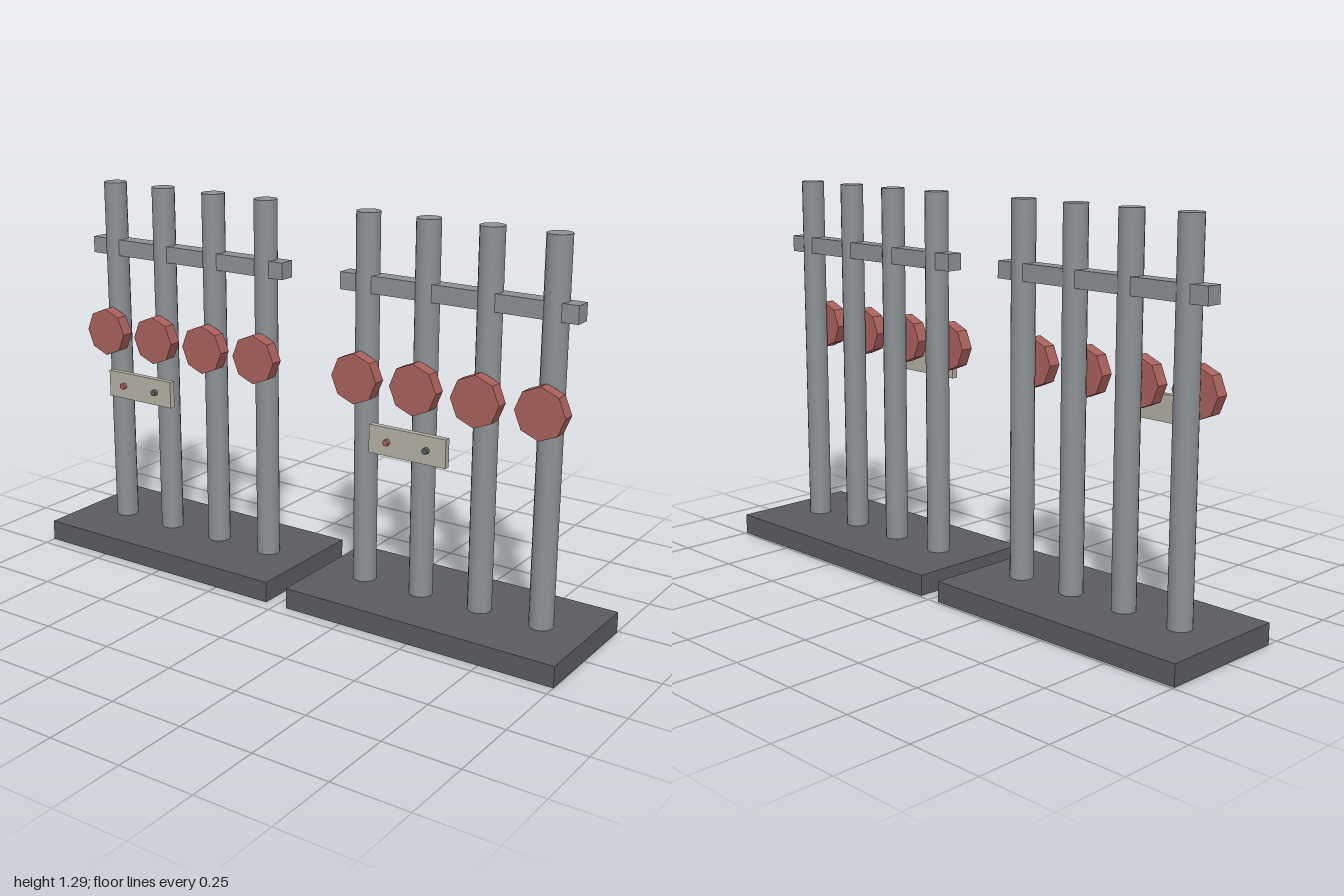
import * as THREE from 'three';

const mat = (color) => new THREE.MeshStandardMaterial({ color });
const steel = mat(0x8c9194);
const darkSteel = mat(0x5a5c60);
const red = mat(0xa8605c);
const panelGrey = mat(0xb4b0a4);

function add(parent, name, geometry, material, x, y, z) {
  const mesh = new THREE.Mesh(geometry, material);
  mesh.name = name;
  mesh.position.set(x, y, z);
  parent.add(mesh);
  return mesh;
}

// One rack: base, four posts with target discs, crossbar and control panel
function createRack(name) {
  const rack = new THREE.Group();
  rack.name = name;

  add(rack, 'base', new THREE.BoxGeometry(0.96, 0.07, 0.45), darkSteel, 0, 0.035, -0.017);
  add(rack, 'crossbar', new THREE.BoxGeometry(0.815, 0.056, 0.056), steel, 0, 1.065, -0.018);

  // Posts, each with an eight-sided disc on its front
  const postGeometry = new THREE.CylinderGeometry(0.039, 0.039, 1.23, 16);
  const discGeometry = new THREE.CylinderGeometry(0.083, 0.083, 0.043, 8).rotateX(Math.PI / 2);
  const discMaterial = red.clone();
  discMaterial.flatShading = true;
  for (let i = 0; i < 4; i++) {
    const x = -0.32 + i * 0.215;
    add(rack, 'post', postGeometry, steel, x, 0.675, -0.016);
    add(rack, 'disc', discGeometry, discMaterial, x, 0.77, 0.0415);
  }

  // Control panel standing off in front, with two buttons
  add(rack, 'controlPanel', new THREE.BoxGeometry(0.265, 0.089, 0.02), panelGrey, -0.018, 0.654, 0.224);
  const buttonGeometry = new THREE.CylinderGeometry(0.01, 0.01, 0.014, 12).rotateX(Math.PI / 2);
  add(rack, 'redButton', buttonGeometry, red, -0.085, 0.654, 0.24);
  add(rack, 'greyButton', buttonGeometry, darkSteel, 0.05, 0.654, 0.24);
  return rack;
}

export function createModel() {
  const model = new THREE.Group();
  model.name = 'targetRacks';
  for (const [name, x] of [['rightRack', -0.52], ['leftRack', 0.52]]) {
    const rack = createRack(name);
    rack.position.x = x;
    model.add(rack);
  }
  return model;
}
